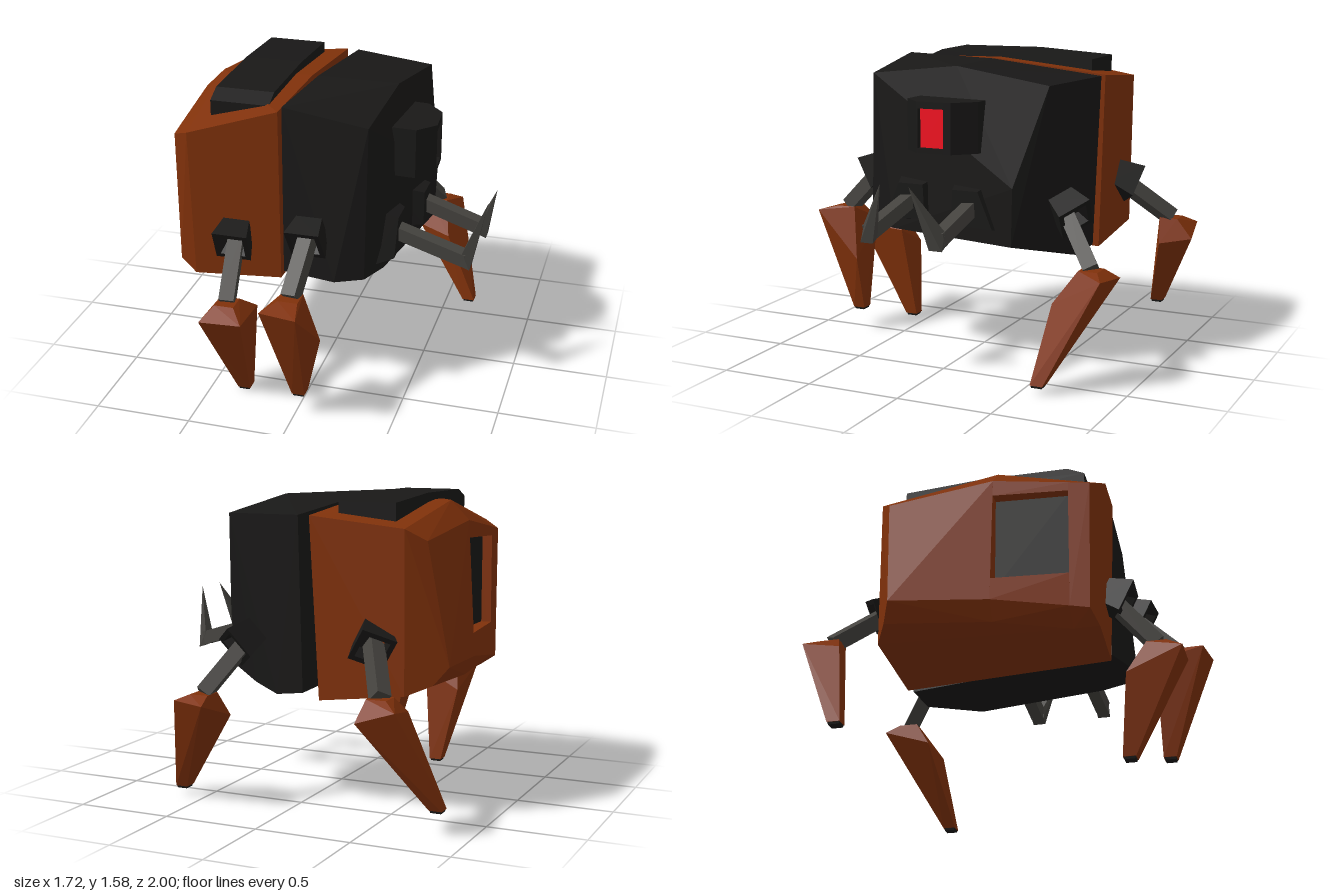
import * as THREE from 'three';
import { ConvexGeometry } from 'three/addons/geometries/ConvexGeometry.js';

const paint = (color) => new THREE.MeshStandardMaterial({ color, flatShading: true });
const orange = paint(0x80310a), dark = paint(0x191817), metal = paint(0x45433f), red = paint(0xf81020);
const V = (p) => new THREE.Vector3(...p);
const UP = new THREE.Vector3(0, 1, 0);

function add(parent, name, geometry, material) {
  const mesh = new THREE.Mesh(geometry, material);
  mesh.name = name;
  parent.add(mesh);
  return mesh;
}

// Faceted solid wrapped around a few corner points
const hull = (parent, name, points, material) =>
  add(parent, name, new ConvexGeometry(points.map(V)), material);

// Upright prism over an [x, z] outline
const prism = (parent, name, outline, y0, y1, material) =>
  hull(parent, name, outline.flatMap(([x, z]) => [[x, y0, z], [x, y1, z]]), material);

// Point a mesh built along +y from a towards b
function aim(mesh, a, b) {
  mesh.position.copy(V(a));
  mesh.quaternion.setFromUnitVectors(UP, V(b).sub(V(a)).normalize());
  return mesh;
}

// Four-sided bar from a to b
function bar(parent, name, a, b, r) {
  const length = V(a).distanceTo(V(b));
  const g = new THREE.CylinderGeometry(r, r, length, 4).rotateY(Math.PI / 4).translate(0, length / 2, 0);
  return aim(add(parent, name, g, metal), a, b);
}

// Square hollow cup that holds a limb
function socket(parent, name, a, b, r) {
  const length = V(a).distanceTo(V(b));
  const profile = [[0.75 * r, 0], [r, length], [0.72 * r, length], [0.55 * r, 0.5 * length], [0, 0.5 * length]];
  const g = new THREE.LatheGeometry(profile.map((p) => new THREE.Vector2(...p)), 4, Math.PI / 4);
  return aim(add(parent, name, g, dark), a, b);
}

// Small horizontal square, used for knees and toes
const square = ([x, y, z], h) => [[x - h, y, z - h], [x + h, y, z - h], [x + h, y, z + h], [x - h, y, z + h]];

function leg(parent, { name, hip, mouth, knee, ring, toe }) {
  const group = new THREE.Group();
  group.name = name;
  socket(group, 'hipSocket', hip, mouth, 0.128);
  bar(group, 'upperLeg', hip, knee, 0.055);
  hull(group, 'foot', [...square(knee, 0.05), ...ring, ...square(toe, 0.033)], orange);
  hull(group, 'toeTip', [...square(toe, 0.03), ...square([toe[0], toe[1] - 0.012, toe[2]], 0.027)], dark);
  parent.add(group);
}

export function createModel() {
  const model = new THREE.Group();
  model.name = 'walkerRobot';

  // Rear body: a core, plus a back wall in four pieces around the hatch opening
  const rear = new THREE.Group();
  rear.name = 'rearBody';
  hull(rear, 'rearCore', [
    [-0.15, 1.54, 0.53], [-0.13, 1.55, 0], [-0.115, 1.49, -0.635],
    [-0.155, 0.62, 0.5], [-0.15, 0.57, -0.6],
    [-0.61, 1.4, 0.575], [-0.61, 1.54, 0.01], [-0.61, 1.44, -0.62],
    [-0.61, 0.6, 0.53], [-0.61, 0.61, 0.01], [-0.61, 0.63, -0.61],
  ], orange);
  hull(rear, 'backWallRight', [
    [-0.61, 1.44, -0.62], [-0.61, 0.63, -0.61], [-0.61, 1.54, 0.01], [-0.61, 0.61, 0.01],
    [-0.7, 1.38, -0.55], [-0.8, 0.77, -0.5], [-0.73, 0.68, -0.54],
    [-0.71, 1.44, 0.01], [-0.75, 0.74, 0.01], [-0.7, 0.64, 0.01],
  ], orange);
  hull(rear, 'backWallLeft', [
    [-0.61, 1.4, 0.575], [-0.61, 0.6, 0.53], [-0.61, 1.443, 0.4], [-0.61, 0.6, 0.4],
    [-0.7, 1.36, 0.51], [-0.7, 0.66, 0.5], [-0.703, 1.378, 0.4], [-0.705, 0.68, 0.4],
  ], orange);
  hull(rear, 'hatchLintel', [
    [-0.61, 1.54, 0.01], [-0.61, 1.443, 0.4], [-0.61, 1.35, 0.01], [-0.61, 1.33, 0.4],
    [-0.71, 1.44, 0.01], [-0.703, 1.378, 0.4], [-0.714, 1.35, 0.01], [-0.703, 1.33, 0.4],
  ], orange);
  hull(rear, 'hatchSill', [
    [-0.61, 0.86, 0.01], [-0.61, 0.86, 0.4], [-0.61, 0.61, 0.01], [-0.61, 0.6, 0.4],
    [-0.743, 0.86, 0.01], [-0.705, 0.86, 0.4], [-0.75, 0.74, 0.01], [-0.705, 0.68, 0.4], [-0.7, 0.64, 0.01],
  ], orange);
  add(rear, 'hatchPanel', new THREE.BoxGeometry(0.06, 0.52, 0.4), dark).position.set(-0.62, 1.1, 0.205);
  model.add(rear);

  // Raised plate on the rear roof, bent over the ridge
  const plate = [[0.45, 1.535], [0.36, 1.575], [-0.1, 1.58], [-0.52, 1.555]];
  hull(model, 'roofPlate', plate.flatMap(([z, y]) => [
    [-0.525, y, z], [-0.22, y, z], [-0.525, 1.42, z], [-0.22, 1.45, z],
  ]), dark);

  // Front body shell
  hull(model, 'frontBody', [
    [-0.135, 1.56, 0.51], [-0.1, 1.55, 0], [-0.055, 1.49, -0.635],
    [-0.14, 0.66, 0.5], [-0.06, 0.6, -0.6],
    [0.3, 1.49, 0.5], [0.33, 1.55, 0], [0.385, 1.48, -0.53],
    [0.15, 0.68, 0.585], [0.29, 0.685, 0.525], [0.1, 0.575, -0.57], [0.24, 0.62, -0.53],
    [0.385, 1.0, 0.1], [0.35, 0.68, 0.36],
    [0.47, 0.97, -0.37], [0.46, 0.67, -0.36],
  ], dark);

  // Eye housing: a core, a raised rim around the opening, and a sunken lens
  const eye = new THREE.Group();
  eye.name = 'eye';
  prism(eye, 'eyeCore', [[0.28, -0.19], [0.45, -0.175], [0.5, -0.12], [0.5, 0.177], [0.47, 0.21], [0.28, 0.2]], 1.13, 1.39, dark);
  prism(eye, 'leftCheek', [[0.5, 0.108], [0.5, 0.177], [0.557, 0.115], [0.557, 0.108]], 1.13, 1.39, dark);
  prism(eye, 'rightCheek', [[0.5, -0.03], [0.5, -0.12], [0.545, -0.07], [0.548, -0.03]], 1.13, 1.39, dark);
  const rim = [[0.5, -0.03], [0.5, 0.108], [0.557, 0.108], [0.548, -0.03]];
  prism(eye, 'brow', rim, 1.355, 1.39, dark);
  prism(eye, 'sill', rim, 1.13, 1.155, dark);
  add(eye, 'eyeLens', new THREE.BoxGeometry(0.03, 0.2, 0.138), red).position.set(0.512, 1.255, 0.039);
  model.add(eye);

  // Mandibles: wedge mount, outward arm and upturned fang
  const jaws = [
    { name: 'leftJaw', side: 1, z: 0.25, x: 0.41, elbow: [0.755, 0.75, 0.28], tip: [0.845, 1.02, 0.165] },
    { name: 'rightJaw', side: -1, z: -0.13, x: 0.47, elbow: [0.77, 0.75, -0.11], tip: [0.86, 1.02, 0.0] },
  ];
  for (const { name, side, z, x, elbow, tip } of jaws) {
    const jaw = new THREE.Group();
    jaw.name = name;
    hull(jaw, 'jawMount', [
      [0.3, 0.72, z + side * 0.19], [0.3, 0.74, z - side * 0.14],
      [0.3, 0.98, z + side * 0.08], [0.3, 0.98, z - side * 0.14],
      [x, 0.75, z + side * 0.13], [x, 0.76, z - side * 0.1],
      [x, 0.94, z + side * 0.05], [x, 0.94, z - side * 0.09],
    ], dark);
    bar(jaw, 'jawArm', [x - 0.04, 0.855, z], elbow, 0.05);
    hull(jaw, 'jawFang', [
      [elbow[0] - 0.01, 0.79, elbow[2] - 0.035], [elbow[0] - 0.01, 0.79, elbow[2] + 0.035],
      [elbow[0] - 0.02, 0.72, elbow[2] - 0.035], [elbow[0] - 0.02, 0.72, elbow[2] + 0.035],
      [elbow[0] + 0.03, 0.7, elbow[2] - 0.035], [elbow[0] + 0.03, 0.7, elbow[2] + 0.035], tip,
    ], metal);
    model.add(jaw);
  }

  // Four legs, each in its own pose
  leg(model, {
    name: 'rearLeftLeg', hip: [-0.375, 0.885, 0.52], mouth: [-0.372, 0.83, 0.635], knee: [-0.355, 0.59, 0.77],
    ring: [[-0.46, 0.53, 0.905], [-0.24, 0.54, 0.905], [-0.24, 0.52, 0.64], [-0.44, 0.42, 0.62]],
    toe: [-0.325, 0.013, 0.61],
  });
  leg(model, {
    name: 'frontLeftLeg', hip: [0.03, 0.97, 0.56], mouth: [0.025, 0.91, 0.67], knee: [0.0, 0.7, 0.83],
    ring: [[-0.12, 0.67, 0.97], [0.075, 0.67, 1.0], [0.12, 0.42, 0.73], [-0.1, 0.62, 0.72]],
    toe: [0.02, 0.122, 0.76],
  });
  leg(model, {
    name: 'frontRightLeg', hip: [0.24, 0.88, -0.54], mouth: [0.3, 0.81, -0.645], knee: [0.41, 0.59, -0.77],
    ring: [[0.35, 0.55, -0.9], [0.53, 0.56, -0.86], [0.33, 0.46, -0.64], [0.5, 0.42, -0.6]],
    toe: [0.64, 0.045, -0.59],
  });
  leg(model, {
    name: 'rearRightLeg', hip: [-0.425, 0.92, -0.57], mouth: [-0.475, 0.86, -0.685], knee: [-0.59, 0.67, -0.86],
    ring: [[-0.71, 0.63, -0.975], [-0.52, 0.57, -1.0], [-0.51, 0.53, -0.82], [-0.7, 0.6, -0.78]],
    toe: [-0.83, 0.125, -0.72],
  });

  return model;
}
